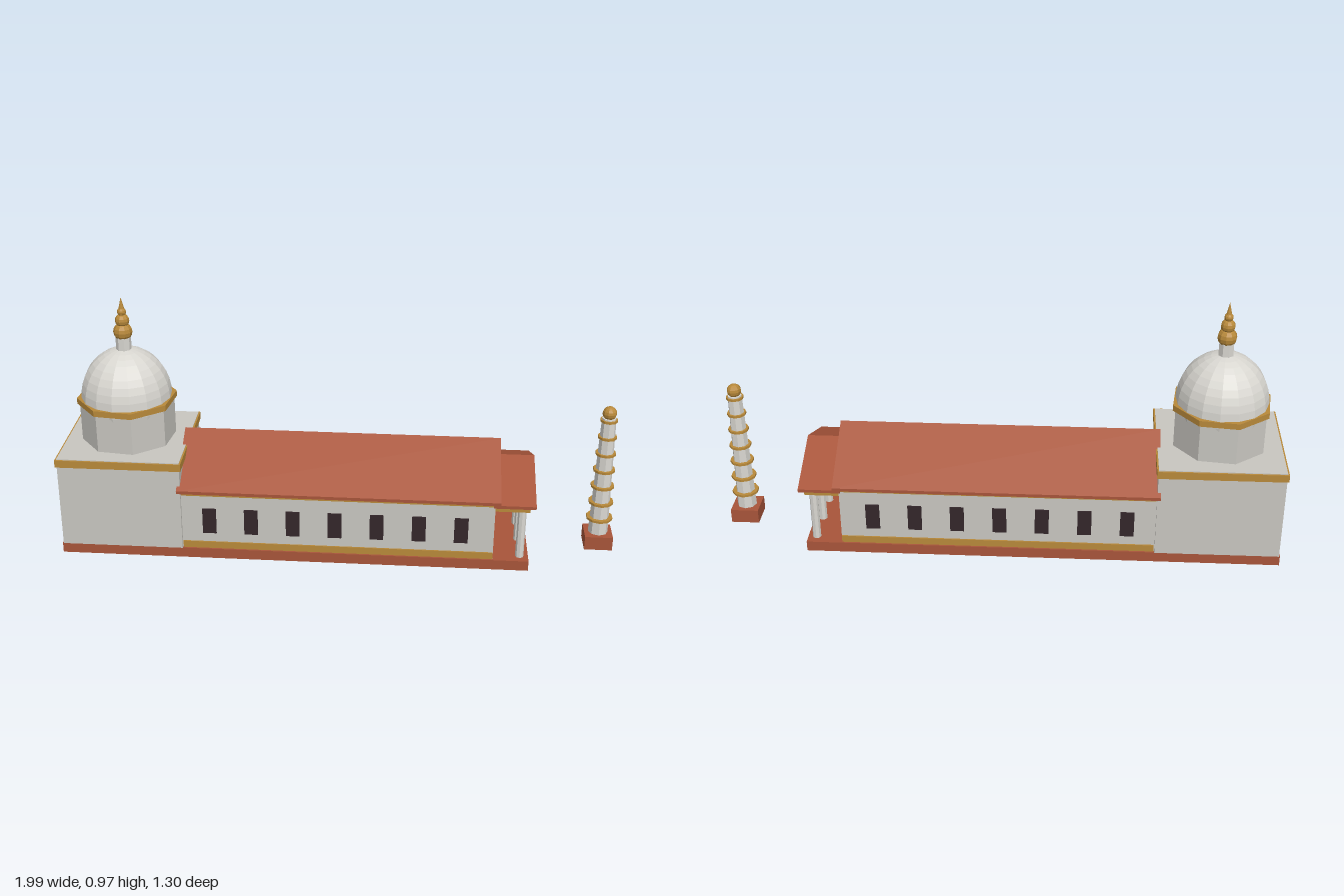
import * as THREE from 'three';

const mat = (name, color) => {
  const m = new THREE.MeshStandardMaterial({ color });
  m.name = name;
  return m;
};

export function createModel() {
  const stone = mat('stone', 0xc8c6c0);
  const pale = mat('pale stone', 0xd8d6d0);
  const red = mat('terracotta', 0xa8553a);
  const gold = mat('gold', 0xb8893a);
  const dark = mat('dark opening', 0x33262a);

  const model = new THREE.Group();
  const angle = THREE.MathUtils.degToRad(29.4);

  // The whole site is turned; local x runs along the hall axis
  const site = new THREE.Group();
  site.name = 'temple';
  site.rotation.y = angle;
  site.position.set(-0.022, 0, -0.039);
  model.add(site);

  const add = (parent, name, geometry, material, x = 0, y = 0, z = 0) => {
    const m = new THREE.Mesh(geometry, material);
    m.name = name;
    m.position.set(x, y, z);
    parent.add(m);
    return m;
  };
  // Box given by its ranges along x and y, and its half width in z
  const box = (name, x0, x1, y0, y1, half, material, z = 0) =>
    add(site, name, new THREE.BoxGeometry(x1 - x0, y1 - y0, half * 2), material,
      (x0 + x1) / 2, (y0 + y1) / 2, z);
  const flat = (g) => {
    const f = g.toNonIndexed();
    f.computeVertexNormals();
    return f;
  };
  const drum = (r0, r1, h, n) => flat(new THREE.CylinderGeometry(r1, r0, h, n));
  const ball = (r, n = 10, rows = 8) => flat(new THREE.SphereGeometry(r, n, rows));

  // Plinth
  box('plinth', -0.981, 0.803, 0, 0.04, 0.23, red);

  // Sanctum: square block with a cornice
  box('sanctumWall', -0.977, -0.513, 0.04, 0.402, 0.232, stone);
  box('sanctumCornice', -0.983, -0.507, 0.37, 0.399, 0.238, gold);

  // Hall with trim bands and windows
  box('hallWall', -0.52, 0.668, 0.04, 0.288, 0.22, stone);
  box('hallBaseBand', -0.51, 0.667, 0.041, 0.068, 0.225, gold);
  box('hallTopBand', -0.51, 0.667, 0.264, 0.288, 0.225, gold);
  for (const side of [-1, 1])
    for (let i = 0; i < 7; i++) {
      const x = -0.407 + i * 0.1587;
      box('window', x - 0.026, x + 0.026, 0.106, 0.21, 0.004, dark, side * 0.221);
    }

  // Gable roofs: a chevron section swept along the axis
  const roof = (name, x0, x1, half, eave, ridge, t) => {
    const s = new THREE.Shape();
    s.moveTo(-half, eave);
    s.lineTo(0, ridge - t);
    s.lineTo(half, eave);
    s.lineTo(half, eave + t);
    s.lineTo(0, ridge);
    s.lineTo(-half, eave + t);
    s.closePath();
    const g = new THREE.ExtrudeGeometry(s, { depth: x1 - x0, bevelEnabled: false });
    g.rotateY(Math.PI / 2);
    add(site, name, g, red, x0);
  };
  roof('hallRoof', -0.525, 0.686, 0.25, 0.283, 0.442, 0.012);
  roof('porchRoof', 0.66, 0.817, 0.236, 0.265, 0.374, 0.012);

  // Porch: beam on four columns
  box('porchBeam', 0.668, 0.797, 0.245, 0.268, 0.222, gold);
  for (const z of [-0.19, -0.063, 0.063, 0.19])
    add(site, 'porchColumn', drum(0.016, 0.016, 0.206, 8), pale, 0.77, 0.143, z);

  // Dome tower, turned back so its octagon squares with the world axes
  const tower = new THREE.Group();
  tower.name = 'domeTower';
  tower.position.x = -0.745;
  tower.rotation.y = -angle;
  site.add(tower);
  add(tower, 'drum', drum(0.18, 0.18, 0.16, 8), stone, 0, 0.48);
  add(tower, 'drumRing', drum(0.19, 0.19, 0.023, 8), gold, 0, 0.563);
  const shell = new THREE.SphereGeometry(0.172, 16, 12, 0, Math.PI * 2, 0, Math.PI * 0.6);
  shell.scale(1, 0.19 / 0.172, 1);
  add(tower, 'dome', flat(shell), pale, 0, 0.575);
  add(tower, 'finialNeck', drum(0.029, 0.029, 0.06, 8), pale, 0, 0.782);
  for (const [r, y] of [[0.036, 0.832], [0.027, 0.876], [0.017, 0.91]])
    add(tower, 'finialBall', ball(r), gold, 0, y);
  add(tower, 'finialSpike', flat(new THREE.ConeGeometry(0.012, 0.05, 8)), gold, 0, 0.942);

  // Free-standing lamp pillar
  const lamp = new THREE.Group();
  lamp.name = 'lampPillar';
  lamp.position.x = 1.084;
  site.add(lamp);
  add(lamp, 'lampBase', new THREE.BoxGeometry(0.107, 0.055, 0.107), red, 0, 0.0275);
  add(lamp, 'lampShaft', drum(0.038, 0.027, 0.487, 8), pale, 0, 0.2985);
  for (let i = 0; i < 7; i++) {
    const r = 0.051 - i * 0.003;
    add(lamp, 'lampRing', drum(r, r, 0.009, 10), gold, 0, 0.118 + i * 0.069);
  }
  add(lamp, 'lampBall', ball(0.027), gold, 0, 0.56);

  return model;
}
